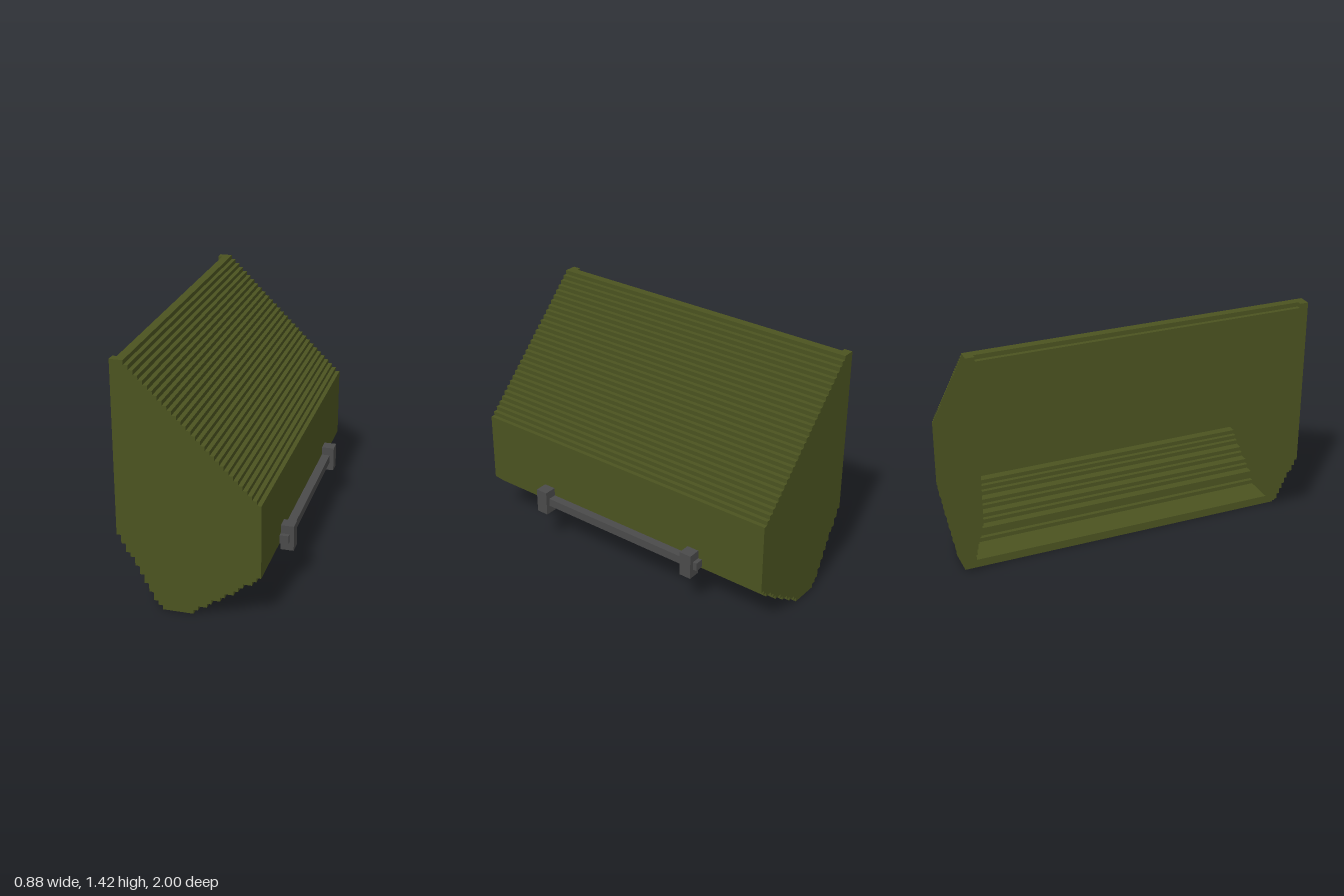
import * as THREE from 'three';

const U = 0.025;      // step size
const X0 = -0.4375;   // left edge of the bucket
const COLS = 32;

// Stepped heights per column, in steps
const LOWER = [17, 15, 13, 12, 10, 8, 6, 4, 2, 1, 0, 0, 0, 0, 0, 0, 0,
  1, 2, 2, 3, 4, 4, 5, 6, 6, 7, 8, 9, 9, 10, 11];
const upper = (i) => Math.min(57, 59 - i);
const roofTop = (i) => (i === 0 ? 56 : upper(i));
const roofUnder = (i) => Math.min(54, 56 - i);
const floorTop = (i) => (i < 17 ? 2 : i === 17 ? 3 : LOWER[i] + 3);

// Stair outline over columns a..b, walked left to right
function stairs(a, b, height) {
  const pts = [];
  for (let i = a; i <= b; i++) {
    const h = height(i);
    const last = pts[pts.length - 1];
    if (last && last[1] === h) last[0] = i + 1;
    else pts.push([i, h], [i + 1, h]);
  }
  return pts;
}

function extrude(points, z, depth) {
  const shape = new THREE.Shape(points.map(([i, j]) => new THREE.Vector2(X0 + i * U, j * U)));
  const geometry = new THREE.ExtrudeGeometry(shape, { depth, bevelEnabled: false });
  return geometry.translate(0, 0, z);
}

export function createModel() {
  const group = new THREE.Group();
  group.name = 'bucket';

  const olive = new THREE.MeshStandardMaterial({ color: 0x4b5320 });
  olive.name = 'olive paint';
  const grey = new THREE.MeshStandardMaterial({ color: 0x4a4a4a });
  grey.name = 'dark grey metal';

  const add = (name, geometry, material) => {
    const mesh = new THREE.Mesh(geometry, material);
    mesh.name = name;
    group.add(mesh);
    return mesh;
  };

  // Side panels with the full stepped silhouette
  const panel = [
    ...stairs(0, COLS - 1, (i) => LOWER[i]),
    ...stairs(0, COLS - 1, upper).reverse(),
  ];
  add('frontPanel', extrude(panel, 0.95, 0.05), olive);
  add('backPanel', extrude(panel, -1, 0.05), olive);

  // Floor, ramp, wall and roof as one bent shell, open on the left edge
  const shell = [
    ...stairs(10, COLS - 1, (i) => LOWER[i]),
    ...stairs(0, COLS - 1, roofTop).reverse(),
    ...stairs(0, 29, roofUnder),
    ...stairs(10, 29, floorTop).reverse(),
  ];
  add('shell', extrude(shell, -0.95, 1.9), olive);

  // Handle bar held by two brackets
  add('handleBar', new THREE.BoxGeometry(0.05, 0.05, 1.2), grey).position.set(0.3875, 0.3, 0);
  for (const side of [1, -1]) {
    add('handleBracket', new THREE.BoxGeometry(0.075, 0.15, 0.075), grey)
      .position.set(0.4, 0.3, side * 0.5375);
  }

  return group;
}
